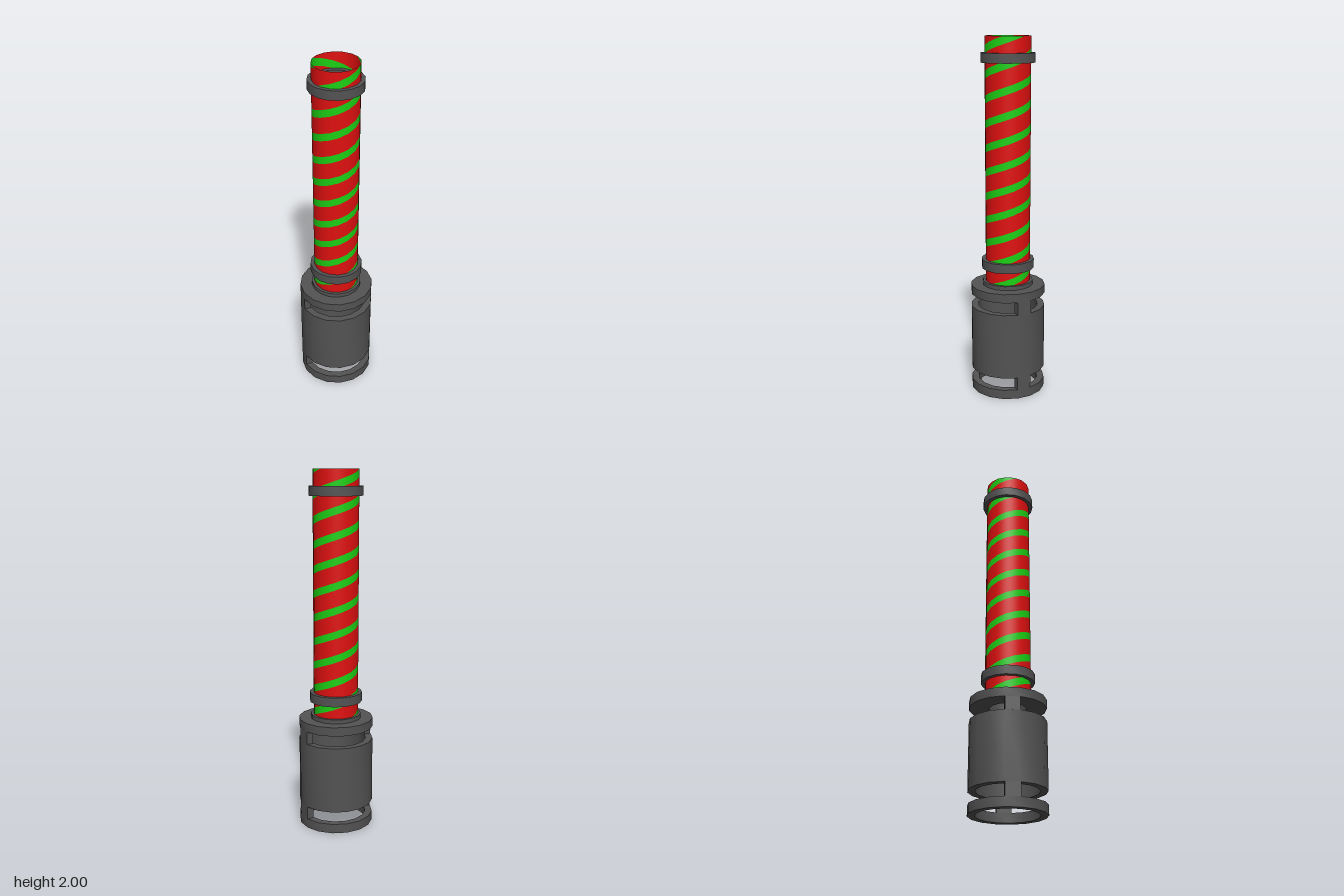
import * as THREE from 'three';
import { toCreasedNormals } from 'three/addons/utils/BufferGeometryUtils.js';

const SIDES = 16;
const STEP = (Math.PI * 2) / SIDES;

const metal = new THREE.MeshStandardMaterial({ color: 0x535353 });
metal.name = 'dark grey metal';
const red = new THREE.MeshStandardMaterial({ color: 0xe01010, side: THREE.DoubleSide });
red.name = 'red sleeve';
const green = new THREE.MeshStandardMaterial({ color: 0x1cd014, side: THREE.DoubleSide });
green.name = 'green stripe';

// Hollow ring with flats facing the axes
function ring(name, inner, outer, y0, y1) {
  const profile = [[inner, y0], [outer, y0], [outer, y1], [inner, y1], [inner, y0]]
    .map(([x, y]) => new THREE.Vector2(x, y));
  const geo = new THREE.LatheGeometry(profile, SIDES, STEP / 2);
  const mesh = new THREE.Mesh(toCreasedNormals(geo, 0.6), metal);
  mesh.name = name;
  return mesh;
}

// Sleeve dimensions: two-start helix, height is BASE + LEAD * turns
const RADIUS = 0.126, BOTTOM = 0.625, TOP = 2;
const SPACING = 0.133, LEAD = SPACING * 2, STRIPE = 0.042, BASE = 1.807;

// Helical bands wrapped on the sixteen-sided sleeve, cut at its two ends
function helixBands(name, from, to, material) {
  const positions = [], normals = [], index = [];
  const sub = 8, columns = SIDES * sub;
  const place = (i, y) => {
    const facet = Math.floor(i / sub), t = (i % sub) / sub;
    const a = (facet + 0.5) * STEP, b = a + STEP, angle = a + t * STEP;
    positions.push(
      RADIUS * THREE.MathUtils.lerp(Math.sin(a), Math.sin(b), t), y,
      RADIUS * THREE.MathUtils.lerp(Math.cos(a), Math.cos(b), t));
    normals.push(Math.sin(angle), 0, Math.cos(angle));
  };
  const heightAt = (i, offset) => THREE.MathUtils.clamp(
    BASE + LEAD * (i / columns + 0.5 / SIDES) + offset, BOTTOM, TOP);
  for (let k = -13; k <= 5; k++) {
    for (let i = 0; i < columns; i++) {
      const lo0 = heightAt(i, k * SPACING + from), hi0 = heightAt(i, k * SPACING + to);
      const lo1 = heightAt(i + 1, k * SPACING + from), hi1 = heightAt(i + 1, k * SPACING + to);
      if (hi0 - lo0 < 1e-6 && hi1 - lo1 < 1e-6) continue;
      const n = positions.length / 3;
      place(i, lo0);
      place(i + 1, lo1);
      place(i + 1, hi1);
      place(i, hi0);
      index.push(n, n + 1, n + 2, n, n + 2, n + 3);
    }
  }
  const geo = new THREE.BufferGeometry();
  geo.setAttribute('position', new THREE.Float32BufferAttribute(positions, 3));
  geo.setAttribute('normal', new THREE.Float32BufferAttribute(normals, 3));
  geo.setIndex(index);
  const mesh = new THREE.Mesh(geo, material);
  mesh.name = name;
  return mesh;
}

export function createModel() {
  const model = new THREE.Group();
  model.name = 'stripedTube';

  // Slotted housing
  const housing = new THREE.Group();
  housing.name = 'housing';
  housing.add(
    ring('bottomRing', 0.17, 0.21, 0, 0.053),
    ring('housingBody', 0.17, 0.21, 0.125, 0.5),
    ring('housingCap', 0.102, 0.21, 0.572, 0.622),
    ring('capFlange', 0.102, 0.142, 0.622, 0.645));

  // Posts bridging the slots on both sides
  for (const side of [-1, 1]) {
    for (const [y0, y1] of [[0.053, 0.125], [0.5, 0.572]]) {
      const post = new THREE.Mesh(new THREE.BoxGeometry(0.039, y1 - y0, 0.081), metal);
      post.position.set(side * 0.1865, (y0 + y1) / 2, 0);
      post.name = 'slotPost';
      housing.add(post);
    }
  }
  model.add(housing);

  // Striped sleeve
  model.add(
    helixBands('sleeveStripes', -STRIPE / 2, STRIPE / 2, green),
    helixBands('sleeve', STRIPE / 2, SPACING - STRIPE / 2, red));

  // Clamp rings
  model.add(
    ring('lowerClamp', 0.102, 0.148, 0.72, 0.772),
    ring('upperClamp', 0.102, 0.148, 1.86, 1.912));

  return model;
}
